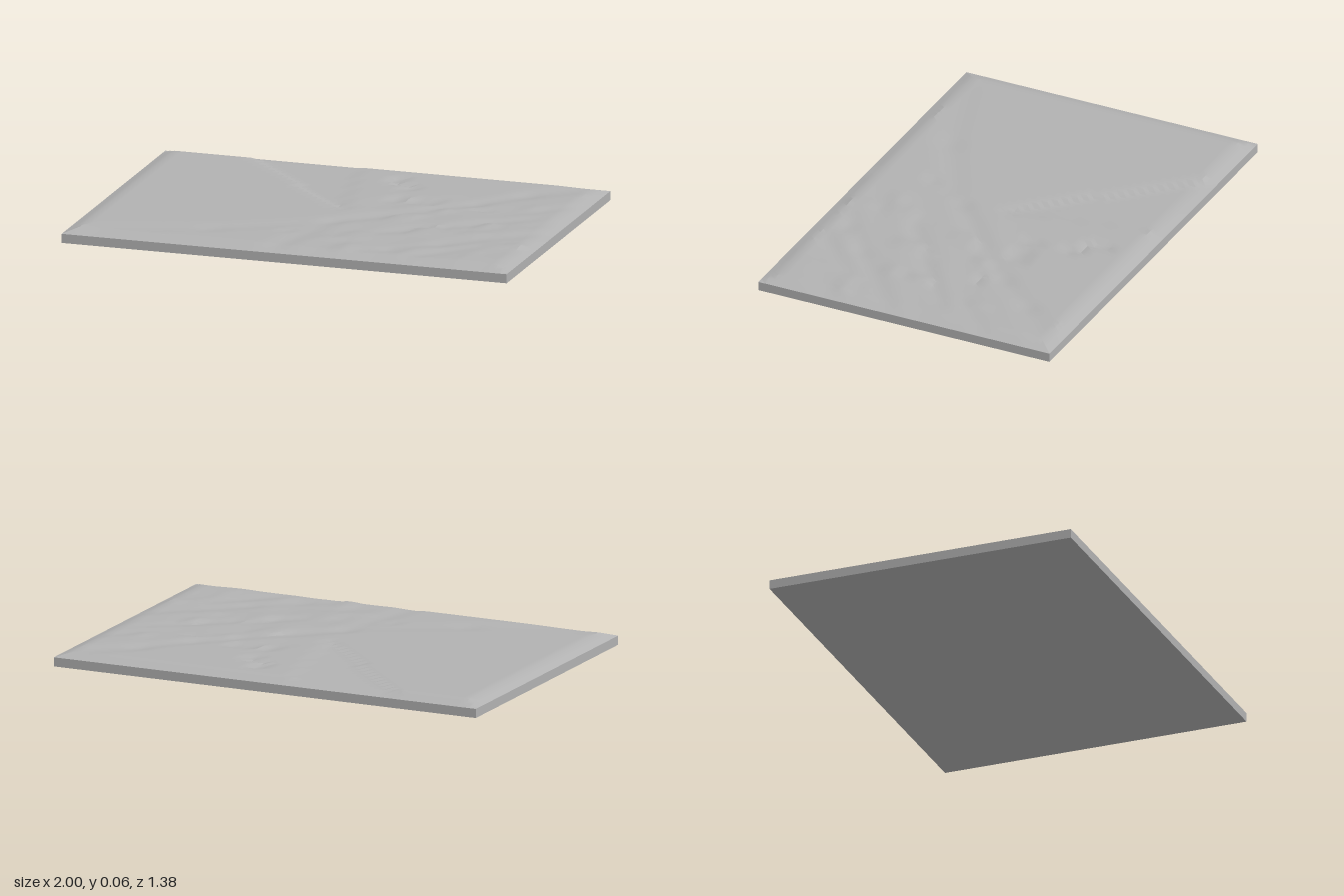
import * as THREE from 'three';
import { toCreasedNormals } from 'three/addons/utils/BufferGeometryUtils.js';

const WIDTH = 2, DEPTH = 1.384, RIM = 0.04, TOP = 0.062;
const NX = 64, NZ = 44;

// Soft channels and ridges: x1, z1, x2, z2, half width, height change
const FOLDS = [
  [0.55, -0.25, 0.72, -0.45, 0.07, -0.005],
  [0.72, -0.45, 0.95, -0.65, 0.1, -0.005],
  [0.05, 0.2, 0.55, -0.25, 0.07, -0.005],
  [-0.05, 0.65, 0.05, 0.2, 0.08, -0.005],
  [-0.85, 0.62, -0.4, 0.47, 0.1, -0.003],
  [-0.4, 0.47, -0.05, 0.28, 0.09, -0.004],
  [0.3, 0.3, 0.85, -0.1, 0.06, -0.005],
  [0.6, 0.4, 0.95, 0.1, 0.07, -0.004],
  [0.55, 0.6, 0.85, 0.3, 0.06, -0.004],
  [0.3, 0.6, 0.6, 0.4, 0.06, -0.004],
  [0.8, -0.2, 0.98, -0.36, 0.06, -0.003],
];

// Stepped terraces: centre x, centre z, half width, half depth, height change
const TERRACES = [
  [0.31, 0.06, 0.05, 0.05, 0.009], [0.35, 0.02, 0.04, 0.04, 0.007],
  [0.46, 0.23, 0.05, 0.06, 0.008], [0.5, 0.17, 0.03, 0.05, 0.006],
  [0.21, 0.39, 0.05, 0.06, 0.009], [0.13, 0.46, 0.05, 0.03, 0.008],
  [0.7, 0.06, 0.03, 0.06, 0.008], [0.69, 0.21, 0.04, 0.04, 0.008],
  [0.45, -0.12, 0.04, 0.03, 0.006], [0.34, -0.22, 0.06, 0.04, -0.007],
  [0.6, -0.15, 0.05, 0.02, -0.006], [0.1, -0.5, 0.03, 0.04, -0.008],
  [0.16, -0.44, 0.04, 0.03, -0.008], [0.21, -0.39, 0.03, 0.03, -0.007],
  [0.23, 0.58, 0.02, 0.05, 0.005], [0.44, 0.55, 0.04, 0.03, -0.005],
  [0.88, 0.34, 0.07, 0.03, 0.004], [0.8, -0.25, 0.02, 0.06, 0.004],
  [-0.08, 0.39, 0.03, 0.04, -0.005], [0.2, -0.21, 0.02, 0.05, -0.006],
  [0.78, 0.52, 0.02, 0.07, 0.003],
];

function distanceToSegment(x, z, x1, z1, x2, z2) {
  const dx = x2 - x1, dz = z2 - z1;
  const t = THREE.MathUtils.clamp(((x - x1) * dx + (z - z1) * dz) / (dx * dx + dz * dz), 0, 1);
  return Math.hypot(x - x1 - t * dx, z - z1 - t * dz);
}

function terrainHeight(x, z) {
  let y = TOP;
  // Wedge that drops along the stepped diagonal and climbs to the right
  if (z < 0.03) {
    const stepX = 0.03 + (z - 0.02) * 0.93;
    const farX = 0.04 + z * 0.22;
    if (x > stepX && x < farX) y -= 0.009 * (1 - 0.6 * (x - stepX) / (farX - stepX));
  }
  for (const [x1, z1, x2, z2, w, h] of FOLDS) {
    const d = distanceToSegment(x, z, x1, z1, x2, z2) / w;
    if (d < 1) y += h * (0.5 + 0.5 * Math.cos(Math.PI * d));
  }
  // Gentle undulation over the broken ground
  const rough = THREE.MathUtils.smoothstep(x, -0.1, 0.25) * THREE.MathUtils.smoothstep(z, -0.45, -0.1);
  y += rough * (0.002 * Math.sin(19 * x + 15 * z) * Math.cos(13 * z - 6 * x) - 0.002);
  for (const [cx, cz, hw, hd, h] of TERRACES) {
    if (Math.abs(x - cx) < hw && Math.abs(z - cz) < hd) y += h;
  }
  y = THREE.MathUtils.clamp(y, 0.046, 0.064);
  // Bevel down to the rim on every edge
  const edge = Math.min(WIDTH / 2 - Math.abs(x), DEPTH / 2 - Math.abs(z));
  return RIM + (y - RIM) * THREE.MathUtils.clamp(edge / 0.0625, 0, 1);
}

export function createModel() {
  const group = new THREE.Group();
  group.name = 'terrainSlab';
  const stone = new THREE.MeshStandardMaterial({ color: 0xb2b2b2 });
  stone.name = 'stoneGrey';

  // Relief surface
  const surface = new THREE.PlaneGeometry(WIDTH, DEPTH, NX, NZ).rotateX(-Math.PI / 2);
  const p = surface.attributes.position;
  for (let i = 0; i < p.count; i++) p.setY(i, terrainHeight(p.getX(i), p.getZ(i)));
  const terrain = new THREE.Mesh(toCreasedNormals(surface, 0.35), stone);
  terrain.name = 'terrain';

  // Base walls and underside, left open beneath the relief
  const box = new THREE.BoxGeometry(WIDTH, RIM, DEPTH).translate(0, RIM / 2, 0);
  const index = Array.from(box.index.array);
  index.splice(12, 6);
  box.setIndex(index);
  box.clearGroups();
  const base = new THREE.Mesh(box, stone);
  base.name = 'base';

  group.add(terrain, base);
  return group;
}
